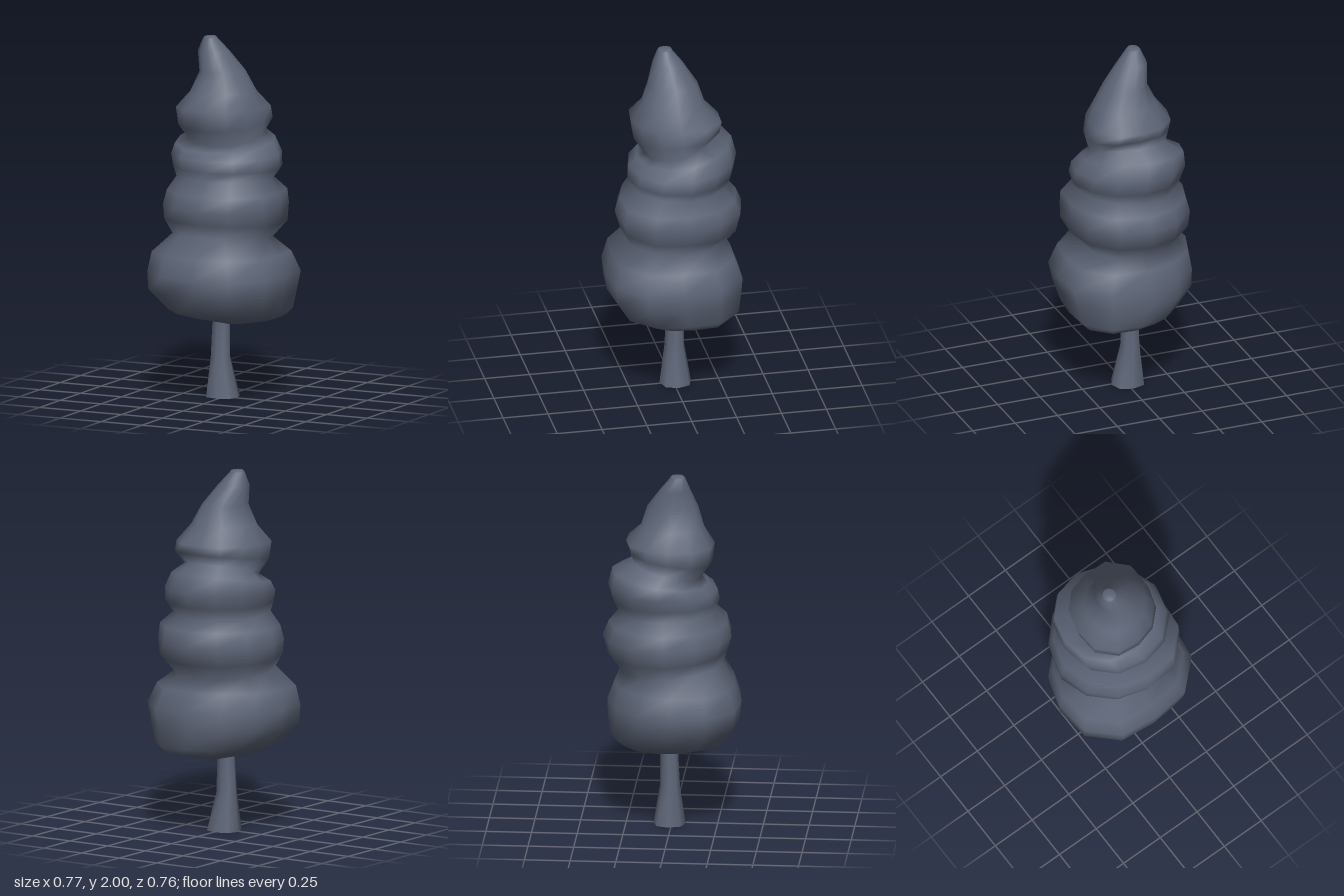
import * as THREE from 'three';

// Skin over stacked rings. Ring: [y, xMin, xMax, zBack, zFront, lobes, tilt]
// lobes swell the four diagonals (+x+z, -x+z, -x-z, +x-z); tilt lifts the back.
function loft(rings, sides, closed, material) {
  const pos = [], index = [];
  for (const [y, x0, x1, z0, z1, lobes = [0, 0, 0, 0], tilt = 0] of rings) {
    for (let k = 0; k < sides; k++) {
      const a = (k / sides) * Math.PI * 2;
      const lobe = lobes[Math.floor((k / sides) * 4)];
      const s = 1 + lobe * Math.abs(Math.sin(2 * a));
      const c = Math.cos(a) * s, n = Math.sin(a) * s;
      pos.push((x0 + x1) / 2 + c * (x1 - x0) / 2, y - tilt * n, (z0 + z1) / 2 + n * (z1 - z0) / 2);
    }
  }
  for (let r = 0; r < rings.length - 1; r++) {
    for (let k = 0; k < sides; k++) {
      const a = r * sides + k, b = r * sides + (k + 1) % sides;
      index.push(a, a + sides, b, b, a + sides, b + sides);
    }
  }
  // closing fans at both ends
  if (closed) {
    const last = (rings.length - 1) * sides, centre = pos.length / 3;
    for (const [y, x0, x1, z0, z1] of [rings[0], rings[rings.length - 1]]) {
      pos.push((x0 + x1) / 2, y, (z0 + z1) / 2);
    }
    for (let k = 0; k < sides; k++) {
      const n = (k + 1) % sides;
      index.push(centre, k, n, centre + 1, last + n, last + k);
    }
  }
  const geometry = new THREE.BufferGeometry();
  geometry.setAttribute('position', new THREE.Float32BufferAttribute(pos, 3));
  geometry.setIndex(index);
  geometry.computeVertexNormals();
  return new THREE.Mesh(geometry, material);
}

export function createModel() {
  const group = new THREE.Group();
  const color = 0x5d6577;

  // trunk, an open tube flared at the foot
  const trunk = loft([
    [0, -0.105, 0.08, -0.10, 0.075, [0.07, 0.07, 0.07, 0.07]],
    [0.22, -0.083, 0.03, -0.065, 0.045],
    [0.46, -0.073, 0.025, -0.063, 0.033],
  ], 8, false, new THREE.MeshStandardMaterial({ color, side: THREE.DoubleSide }));
  trunk.name = 'trunk';
  group.add(trunk);

  // foliage: four swelling tiers drawn in at the necks, tip leaning to -x
  const low = [0.1, 0.1, -0.02, 0.13];
  const mid = [0.12, -0.02, -0.01, 0.03];
  const third = [0.02, 0.03, 0.04, -0.05];
  const high = [-0.01, 0.1, 0.02, 0.15];
  const tip = [-0.05, 0.05, 0, 0];
  const foliage = loft([
    // bottom tier
    [0.41, -0.04, 0.12, -0.15, 0.02],
    [0.45, -0.20, 0.295, -0.29, 0.17, low],
    [0.49, -0.28, 0.335, -0.335, 0.30, low],
    [0.60, -0.38, 0.365, -0.35, 0.37, low],
    [0.70, -0.385, 0.387, -0.355, 0.38, low],
    [0.81, -0.365, 0.34, -0.315, 0.345, low],
    [0.90, -0.285, 0.26, -0.275, 0.28, mid, -0.025],
    // second tier
    [0.98, -0.345, 0.33, -0.35, 0.305, mid, -0.015],
    [1.07, -0.35, 0.33, -0.38, 0.325, mid],
    [1.15, -0.33, 0.33, -0.345, 0.30, mid],
    [1.22, -0.265, 0.275, -0.295, 0.24, third, -0.01],
    // third tier
    [1.28, -0.285, 0.32, -0.33, 0.26, third],
    [1.35, -0.305, 0.31, -0.35, 0.25, third, 0.01],
    [1.42, -0.295, 0.265, -0.325, 0.20, third, 0.04],
    [1.46, -0.21, 0.215, -0.22, 0.16, third, 0.05],
    // top tier and tip
    [1.53, -0.235, 0.235, -0.235, 0.22, high, 0.03],
    [1.61, -0.245, 0.218, -0.25, 0.235, high],
    [1.70, -0.175, 0.18, -0.17, 0.175, tip],
    [1.81, -0.122, 0.115, -0.135, 0.145, tip],
    [1.92, -0.135, 0.035, -0.06, 0.105, tip],
    [1.99, -0.105, -0.025, -0.005, 0.078],
    [2.0, -0.095, -0.035, 0, 0.07],
  ], 12, true, new THREE.MeshStandardMaterial({ color }));
  foliage.name = 'foliage';
  group.add(foliage);

  return group;
}
